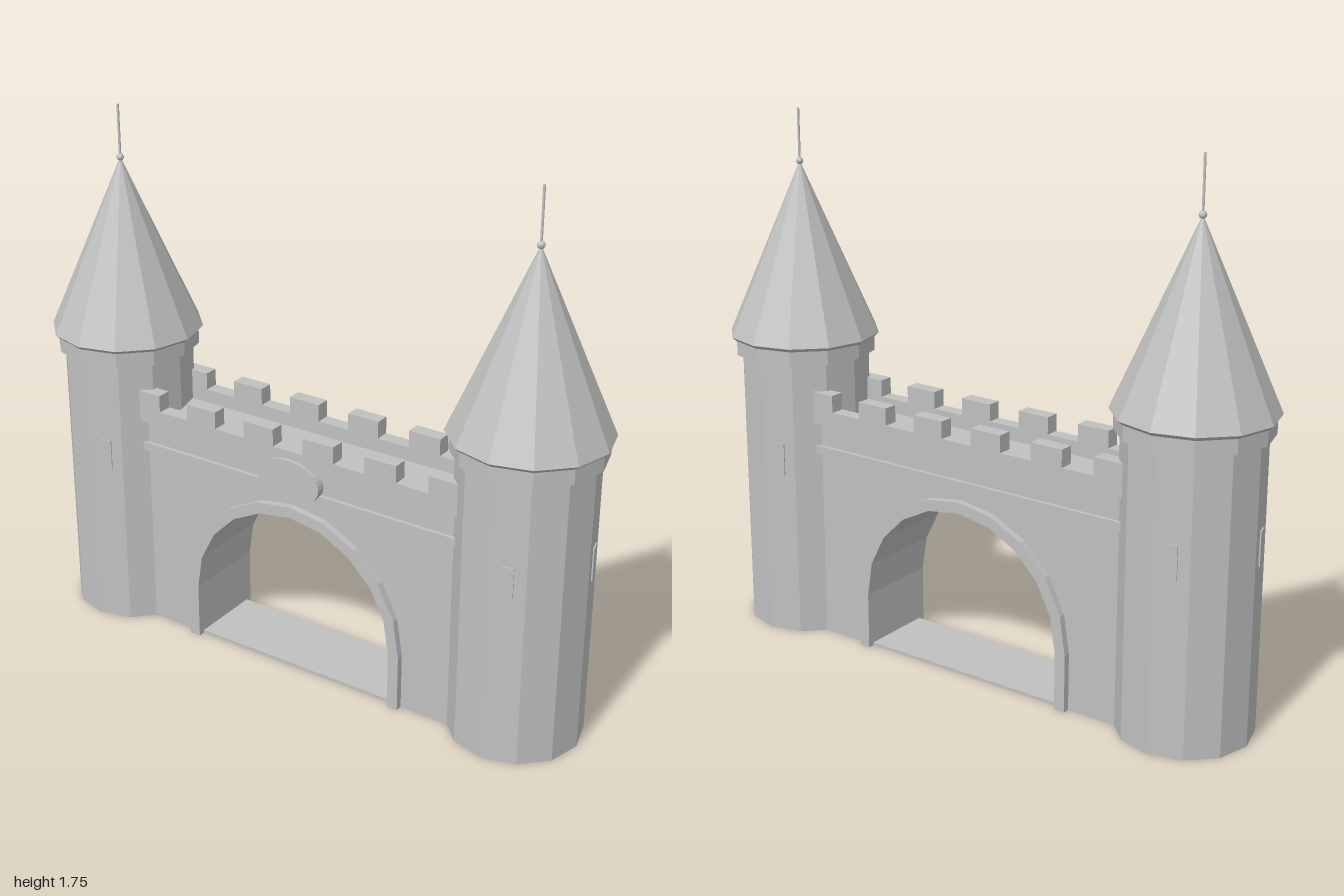
import * as THREE from 'three';

const stone = new THREE.MeshStandardMaterial({ color: 0xc0c0c0, flatShading: true });
stone.name = 'grey stone';

function add(parent, name, geometry, x = 0, y = 0, z = 0) {
  const mesh = new THREE.Mesh(geometry, stone);
  mesh.name = name;
  mesh.position.set(x, y, z);
  parent.add(mesh);
  return mesh;
}

// Box given by its extents on each axis
function block(parent, name, x0, x1, y0, y1, z0, z1) {
  return add(parent, name, new THREE.BoxGeometry(x1 - x0, y1 - y0, z1 - z0),
    (x0 + x1) / 2, (y0 + y1) / 2, (z0 + z1) / 2);
}

// Points of a round arch, from its right foot over the top to its left foot
const SPRING = 0.19;
function archPoints(radius) {
  const pts = [new THREE.Vector2(radius, 0)];
  for (let i = 0; i <= 10; i++) {
    const a = Math.PI * i / 10;
    pts.push(new THREE.Vector2(radius * Math.cos(a), SPRING + radius * Math.sin(a)));
  }
  pts.push(new THREE.Vector2(-radius, 0));
  return pts;
}

// Extrude an outline symmetrically about z = 0
function slab(points, halfDepth) {
  const g = new THREE.ExtrudeGeometry(new THREE.Shape(points), { depth: 2 * halfDepth, bevelEnabled: false });
  return g.translate(0, 0, -halfDepth);
}

function makeTower() {
  const tower = new THREE.Group();
  const R = 0.215, sides = 12;
  add(tower, 'towerShaft', new THREE.CylinderGeometry(R, R, 0.96, sides), 0, 0.48);
  add(tower, 'towerCollar', new THREE.CylinderGeometry(0.235, 0.235, 0.055, sides), 0, 0.9705);
  add(tower, 'roofEave', new THREE.CylinderGeometry(0.25, 0.238, 0.012, sides), 0, 0.998);
  add(tower, 'spireRoof', new THREE.ConeGeometry(0.25, 0.57, sides), 0, 1.289);
  add(tower, 'finialBall', new THREE.SphereGeometry(0.012, 10, 8), 0, 1.573);
  add(tower, 'finialPole', new THREE.CylinderGeometry(0.004, 0.004, 0.175, 8), 0, 1.6575);

  // One slit window on every third facet
  const apothem = R * Math.cos(Math.PI / sides);
  for (let i = 0; i < 4; i++) {
    const a = Math.PI / sides + i * Math.PI / 2;
    const win = add(tower, 'slitWindow', new THREE.BoxGeometry(0.036, 0.11, 0.009),
      apothem * Math.sin(a), 0.615, apothem * Math.cos(a));
    win.rotation.y = a;
  }
  return tower;
}

// Everything repeated on both faces of the wall, built for the +z face
function makeWallFace() {
  const face = new THREE.Group();
  block(face, 'stringCourse', -0.6, 0.6, 0.637, 0.665, 0.11, 0.135);
  block(face, 'parapet', -0.6, 0.6, 0.742, 0.793, 0.092, 0.14);
  for (let i = 0; i < 6; i++) {
    const start = -0.625 + 0.2246 * i;
    block(face, 'merlon', Math.max(start, -0.6), Math.min(start + 0.1123, 0.6), 0.793, 0.85, 0.092, 0.14);
  }
  return face;
}

export function createModel() {
  const model = new THREE.Group();
  model.name = 'castleGate';

  for (const side of [1, -1]) {
    const tower = makeTower();
    tower.name = side > 0 ? 'leftTower' : 'rightTower';
    tower.position.x = 0.75 * side;
    model.add(tower);
  }

  // Gate wall with the arch cut out
  const W = 0.62, H = 0.746;
  const wall = [
    new THREE.Vector2(W, 0), new THREE.Vector2(W, H),
    new THREE.Vector2(-W, H), new THREE.Vector2(-W, 0),
    ...archPoints(0.39).reverse(),
  ];
  add(model, 'gateWall', slab(wall, 0.122));

  // Raised arch surround, also lining the passage
  const ring = [...archPoints(0.41), ...archPoints(0.373).reverse()];
  add(model, 'archSurround', slab(ring, 0.145));

  block(model, 'threshold', -0.38, 0.38, 0, 0.01, -0.122, 0.122);

  const front = makeWallFace();
  front.name = 'frontBattlement';
  const back = makeWallFace();
  back.name = 'backBattlement';
  back.rotation.y = Math.PI;
  model.add(front, back);

  // Oval plaque over the arch
  const oval = new THREE.CylinderGeometry(1, 1, 0.04, 32).rotateX(Math.PI / 2).scale(0.114, 0.074, 1);
  add(model, 'ovalPlaque', oval, 0, 0.692, 0.131);

  return model;
}
